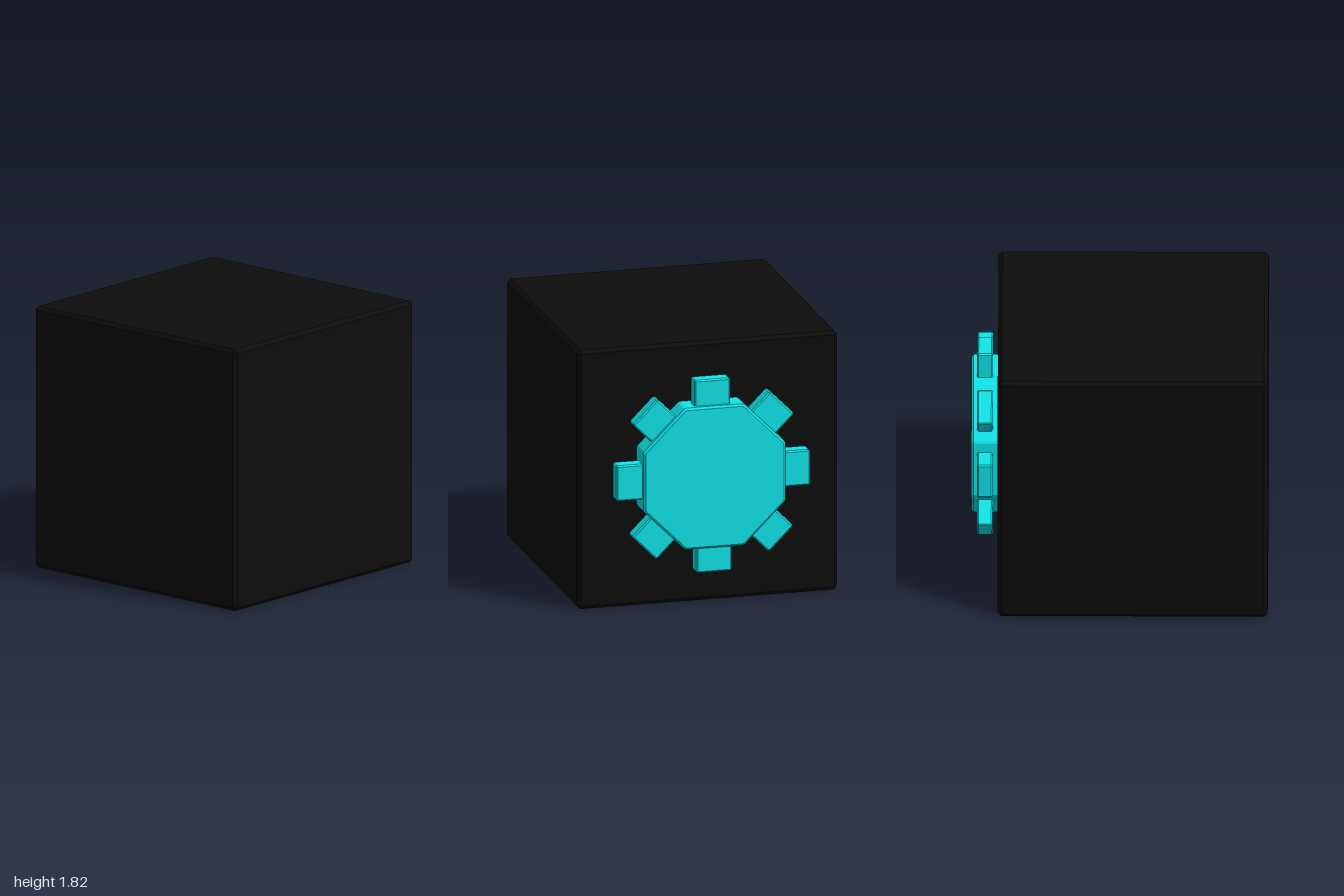
import * as THREE from 'three';
import { ConvexGeometry } from 'three/addons/geometries/ConvexGeometry.js';

// Box with every edge cut by a flat chamfer b
function chamferBox(w, h, d, b) {
  const points = [];
  for (const x of [-w / 2, w / 2]) for (const y of [-h / 2, h / 2]) for (const z of [-d / 2, d / 2]) {
    const cut = (v) => v - Math.sign(v) * b;
    points.push(
      new THREE.Vector3(x, cut(y), cut(z)),
      new THREE.Vector3(cut(x), y, cut(z)),
      new THREE.Vector3(cut(x), cut(y), z)
    );
  }
  return new ConvexGeometry(points);
}

// Regular octagonal prism along x with chamfered corners and outer rim
function chamferOctagon(apothem, x0, x1, b) {
  const points = [];
  for (const [x, r] of [[x0, apothem], [x1 - b, apothem], [x1, apothem - b]]) {
    const half = r * Math.tan(Math.PI / 8) - b * 0.6;
    for (let i = 0; i < 8; i++) {
      const a = i * Math.PI / 4;
      for (const t of [-half, half]) {
        points.push(new THREE.Vector3(
          x,
          r * Math.cos(a) + t * Math.sin(a),
          r * Math.sin(a) - t * Math.cos(a)
        ));
      }
    }
  }
  return new ConvexGeometry(points);
}

export function createModel() {
  const model = new THREE.Group();
  model.name = 'cubeWithGear';
  const black = new THREE.MeshStandardMaterial({ color: 0x0d0d0d, flatShading: true });
  const cyan = new THREE.MeshStandardMaterial({ color: 0x10e6ea, flatShading: true });

  // Body cube
  const body = new THREE.Mesh(chamferBox(1.82, 1.82, 1.82, 0.025), black);
  body.name = 'body';
  body.position.set(-0.09, 0.91, 0);
  model.add(body);

  // Gear on the +x face
  const gear = new THREE.Group();
  gear.name = 'gear';
  gear.position.y = 0.915;
  model.add(gear);

  const hub = new THREE.Mesh(chamferOctagon(0.497, 0.8, 1, 0.014), cyan);
  hub.name = 'gearHub';
  gear.add(hub);

  // Eight teeth, the straight ones slightly wider than the diagonal ones
  for (let i = 0; i < 8; i++) {
    const diagonal = i % 2 === 1;
    const pivot = new THREE.Group();
    pivot.name = 'toothPivot';
    pivot.rotation.x = i * Math.PI / 4;
    const tooth = new THREE.Mesh(chamferBox(0.106, 0.24, diagonal ? 0.242 : 0.25, 0.01), cyan);
    tooth.name = 'gearTooth';
    tooth.position.set(0.908, 0.557, diagonal ? -0.004 : 0.006);
    pivot.add(tooth);
    gear.add(pivot);
  }
  return model;
}
